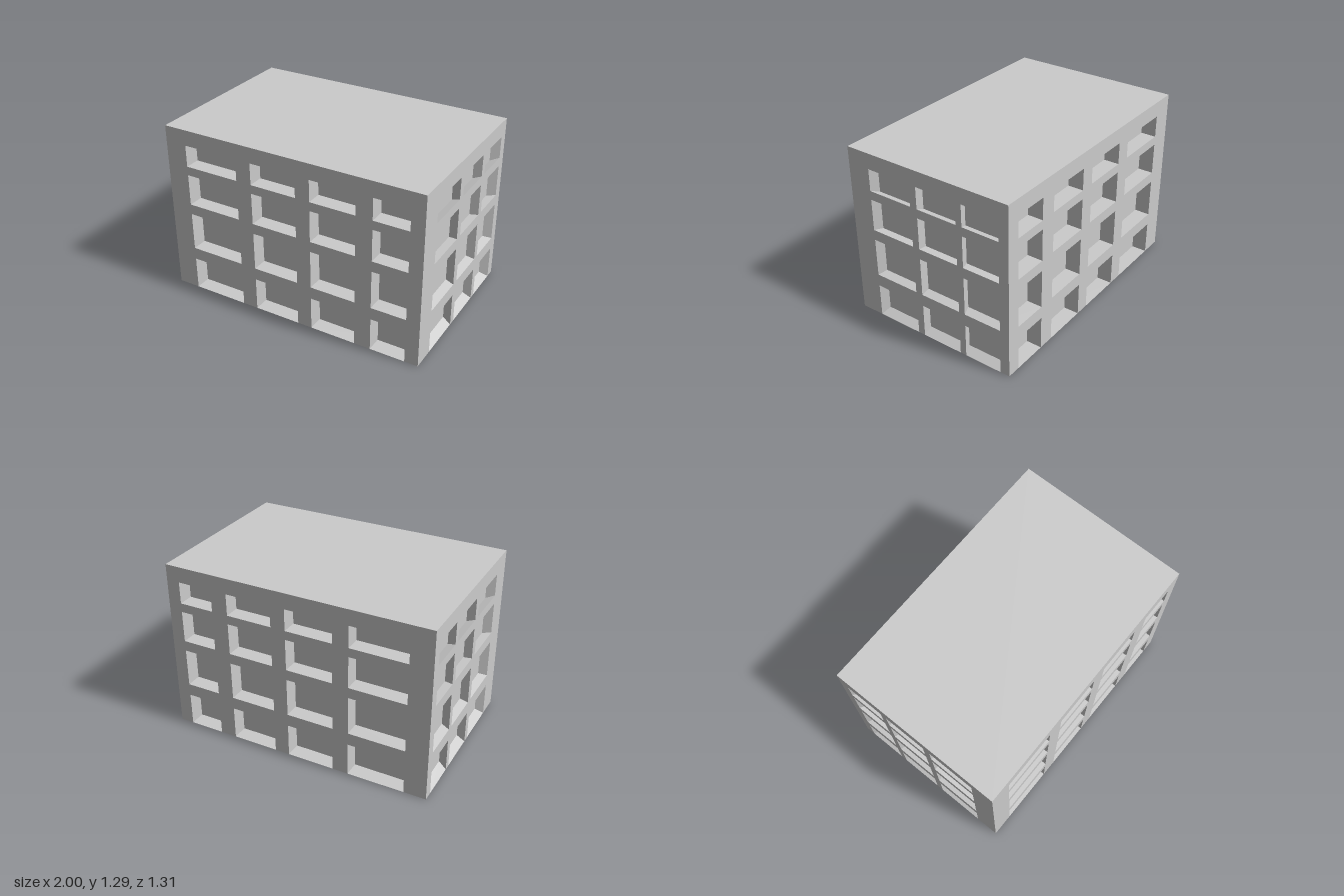
import * as THREE from 'three';

const X = 1, H = 1.295, Z = 0.655;

// Grid lines; every odd cell is a window opening
const rows = [0, 0.25, 0.343, 0.632, 0.711, 0.948, 1.015, 1.178, H];
const longCols = [-X, -0.835, -0.412, -0.294, 0.06, 0.17, 0.515, 0.638, 0.9, X];
const shortCols = [-Z, -0.582, -0.295, -0.247, 0.073, 0.127, 0.48, Z];

const material = new THREE.MeshStandardMaterial({ color: 0xcccccc, flatShading: true });

// Wall with recessed windows; at(u, v, r) gives a point, r = 0 on the wall, 1 at the recess back
function facade(name, cols, at, flip) {
  const pos = [];
  const quad = (a, b, c, d) => {
    const tris = flip ? [a, c, b, a, d, c] : [a, b, c, a, c, d];
    tris.forEach((p) => pos.push(...p));
  };
  for (let i = 0; i < cols.length - 1; i++) {
    for (let j = 0; j < rows.length - 1; j++) {
      const corners = [
        [cols[i], rows[j]], [cols[i + 1], rows[j]],
        [cols[i + 1], rows[j + 1]], [cols[i], rows[j + 1]],
      ];
      const outer = corners.map(([u, v]) => at(u, v, 0));
      // Window rows start at the ground, so they are the even ones
      if (i % 2 === 0 || j % 2 === 1) {
        quad(...outer);
        continue;
      }
      // Recessed pane and its four reveals
      const inner = corners.map(([u, v]) => at(u, v, 1));
      quad(...inner);
      for (let k = 0; k < 4; k++) {
        const n = (k + 1) % 4;
        quad(outer[k], outer[n], inner[n], inner[k]);
      }
    }
  }
  const geometry = new THREE.BufferGeometry();
  geometry.setAttribute('position', new THREE.Float32BufferAttribute(pos, 3));
  geometry.computeVertexNormals();
  const mesh = new THREE.Mesh(geometry, material);
  mesh.name = name;
  return mesh;
}

// Horizontal slab face
function cap(name, y, tilt) {
  const mesh = new THREE.Mesh(new THREE.PlaneGeometry(2 * X, 2 * Z), material);
  mesh.rotation.x = tilt;
  mesh.position.y = y;
  mesh.name = name;
  return mesh;
}

export function createModel() {
  const building = new THREE.Group();
  building.name = 'building';

  // Long walls have straight recesses, short walls shrink toward the building centre
  const longDepth = 0.115, shrink = 0.06;
  for (const s of [1, -1]) {
    building.add(facade(s > 0 ? 'frontWall' : 'backWall', longCols,
      (u, v, r) => [u, v, s * (Z - r * longDepth)], s < 0));
    building.add(facade(s > 0 ? 'leftWall' : 'rightWall', shortCols, (u, v, r) => {
      const k = 1 - shrink * r;
      return [s * X * k, H / 2 + (v - H / 2) * k, u * k];
    }, s > 0));
  }

  building.add(cap('roof', H, -Math.PI / 2), cap('base', 0, Math.PI / 2));
  return building;
}
